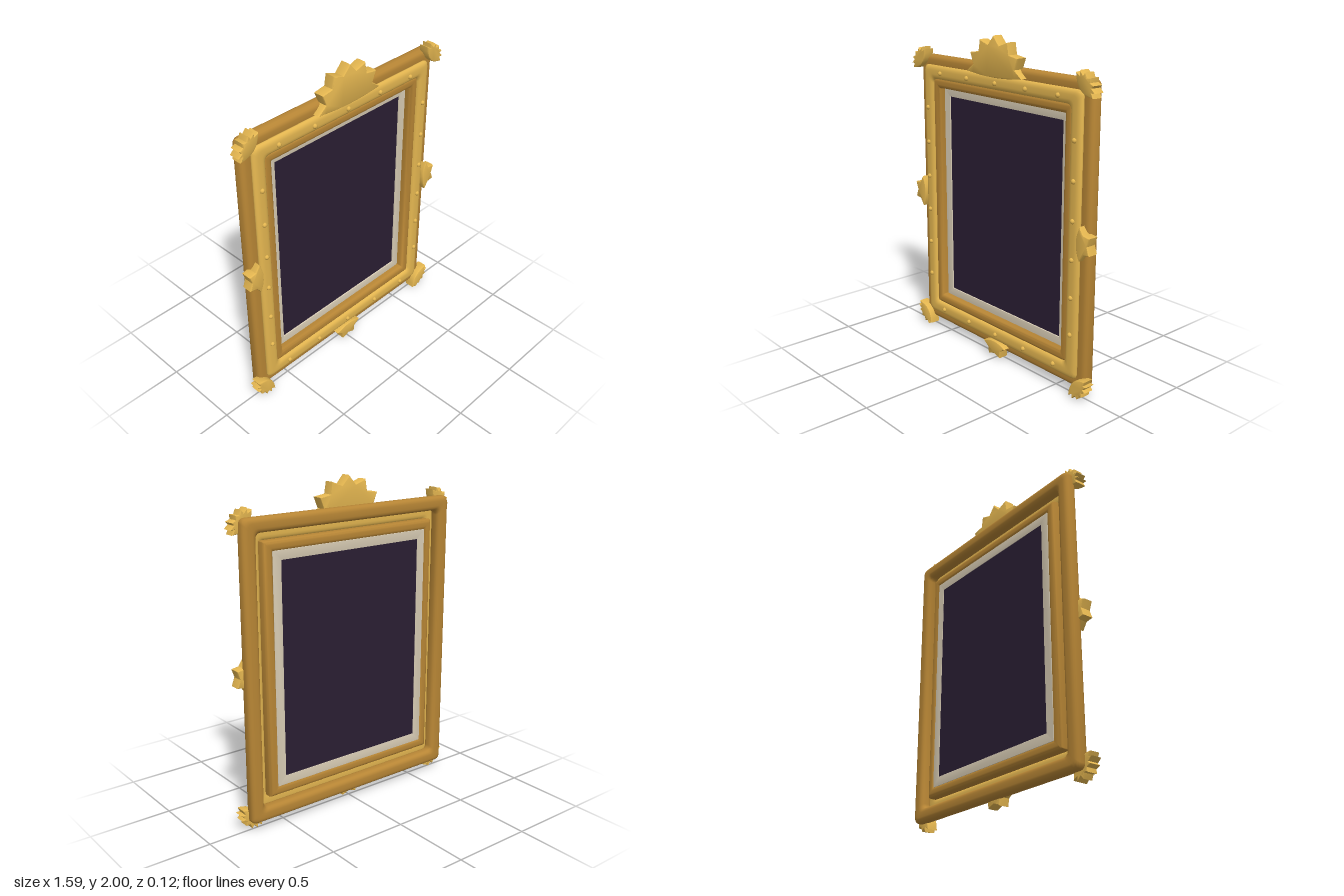
import * as THREE from 'three';
import { toCreasedNormals } from 'three/addons/utils/BufferGeometryUtils.js';

const CY = 0.94; // height of the frame centre

// Rectangular moulding: a rounded cross-section swept round a rectangle.
// hw, hh are the outer half sizes, w the rail width, bx and bz the rounding, r the corner radius
function moulding(hw, hh, w, z0, z1, bx, bz, r, crease = 0.65) {
  // Cross-section as [inset from the outer edge, z]
  const profile = [];
  for (let q = 0; q < 4; q++) {
    const inner = q === 1 || q === 2;
    for (let k = 0; k <= 4; k++) {
      const a = (q + k / 4) * Math.PI / 2;
      profile.push([
        (inner ? w - bx : bx) - bx * Math.cos(a),
        (q < 2 ? z1 - bz : z0 + bz) + bz * Math.sin(a),
      ]);
    }
  }
  const n = profile.length, steps = 3, rings = 4 * (steps + 1);
  const pos = [], index = [];
  for (let c = 0; c < 4; c++) {
    const sx = c === 0 || c === 3 ? 1 : -1, sy = c < 2 ? 1 : -1;
    for (let k = 0; k <= steps; k++) {
      const a = (c + k / steps) * Math.PI / 2;
      for (const [d, z] of profile) {
        pos.push(sx * (hw - d - r) + r * Math.cos(a), sy * (hh - d - r) + r * Math.sin(a), z);
      }
    }
  }
  for (let i = 0; i < rings; i++) {
    for (let j = 0; j < n; j++) {
      const i2 = (i + 1) % rings, j2 = (j + 1) % n;
      const p = i * n + j, q = i2 * n + j, s = i2 * n + j2, t = i * n + j2;
      index.push(p, q, s, p, s, t);
    }
  }
  const g = new THREE.BufferGeometry();
  g.setAttribute('position', new THREE.Float32BufferAttribute(pos, 3));
  g.setIndex(index);
  return toCreasedNormals(g, crease);
}

// Half sunburst opening upwards, with a curved base
function sunburst(rx, ry, tips, valley, sag) {
  const shape = new THREE.Shape();
  const steps = (tips - 1) * 2;
  for (let i = 0; i <= steps; i++) {
    const a = (i / steps) * Math.PI, k = i % 2 ? valley : 1;
    const x = Math.cos(a) * rx * k, y = Math.sin(a) * ry * k;
    if (i) shape.lineTo(x, y); else shape.moveTo(x, y);
  }
  shape.quadraticCurveTo(0, -2 * sag, rx, 0);
  const bevel = 0.01, inset = 0.005;
  const g = new THREE.ExtrudeGeometry(shape, {
    depth: 0.068 - 2 * bevel, bevelThickness: bevel, bevelSize: inset,
    bevelOffset: -inset, bevelSegments: 3, curveSegments: 8,
  });
  g.translate(0, 0, bevel - 0.011);
  return toCreasedNormals(g, 0.5);
}

export function createModel() {
  const mat = (name, color) => {
    const m = new THREE.MeshStandardMaterial({ color });
    m.name = name;
    return m;
  };
  const gold = mat('bright gold', 0xe4b650);
  const darkGold = mat('dark gold', 0xb88635);
  const cream = mat('cream', 0xd8ccb4);
  const plum = mat('dark plum', 0x2a1e33);

  const model = new THREE.Group();
  model.name = 'pictureFrame';
  const add = (name, geometry, material, x = 0, y = CY, z = 0, turn = 0) => {
    const mesh = new THREE.Mesh(geometry, material);
    mesh.name = name;
    mesh.position.set(x, y, z);
    mesh.rotation.z = turn;
    model.add(mesh);
  };

  // Nested mouldings from the outside in
  add('outerFrame', moulding(0.744, 0.89, 0.085, -0.062, 0.018, 0.028, 0.028, 0.03), darkGold);
  add('middleFrame', moulding(0.687, 0.833, 0.085, 0.003, 0.045, 0.03, 0.021, 0.03), gold);
  add('innerFrame', moulding(0.612, 0.755, 0.062, -0.05, 0.03, 0.022, 0.022, 0.006), darkGold);
  add('mount', moulding(0.556, 0.699, 0.056, -0.046, -0.016, 0.001, 0.001, 0.002, 0.2), cream);
  add('canvas', new THREE.BoxGeometry(1.002, 1.288, 0.02), plum, 0, CY, -0.034);

  // Sunburst crest, edge ornaments and corner ornaments
  add('crest', sunburst(0.24, 0.222, 7, 0.78, 0.018), gold, 0, 1.78);
  const small = sunburst(0.1, 0.088, 4, 0.66, 0.026);
  add('bottomOrnament', small, gold, 0, 0.088, 0, Math.PI);
  const corner = sunburst(0.09, 0.058, 7, 0.7, 0.042);
  for (const s of [1, -1]) {
    add('sideOrnament', small, gold, s * 0.708, CY, 0, -s * Math.PI / 2);
    for (const t of [1, -1]) {
      const turn = Math.atan2(t, s) - Math.PI / 2;
      add('cornerOrnament', corner, gold, s * 0.717, CY + t * 0.865, 0, turn);
    }
  }

  // Studs along the middle frame
  const stud = new THREE.SphereGeometry(0.015, 8, 6);
  for (const s of [1, -1]) {
    for (let i = -2; i <= 2; i++) add('stud', stud, gold, i * 0.2575, CY + s * 0.788, 0.045);
    for (let i = 0; i < 6; i++) add('stud', stud, gold, s * 0.645, 0.38 + i * 0.2245, 0.045);
  }
  return model;
}
